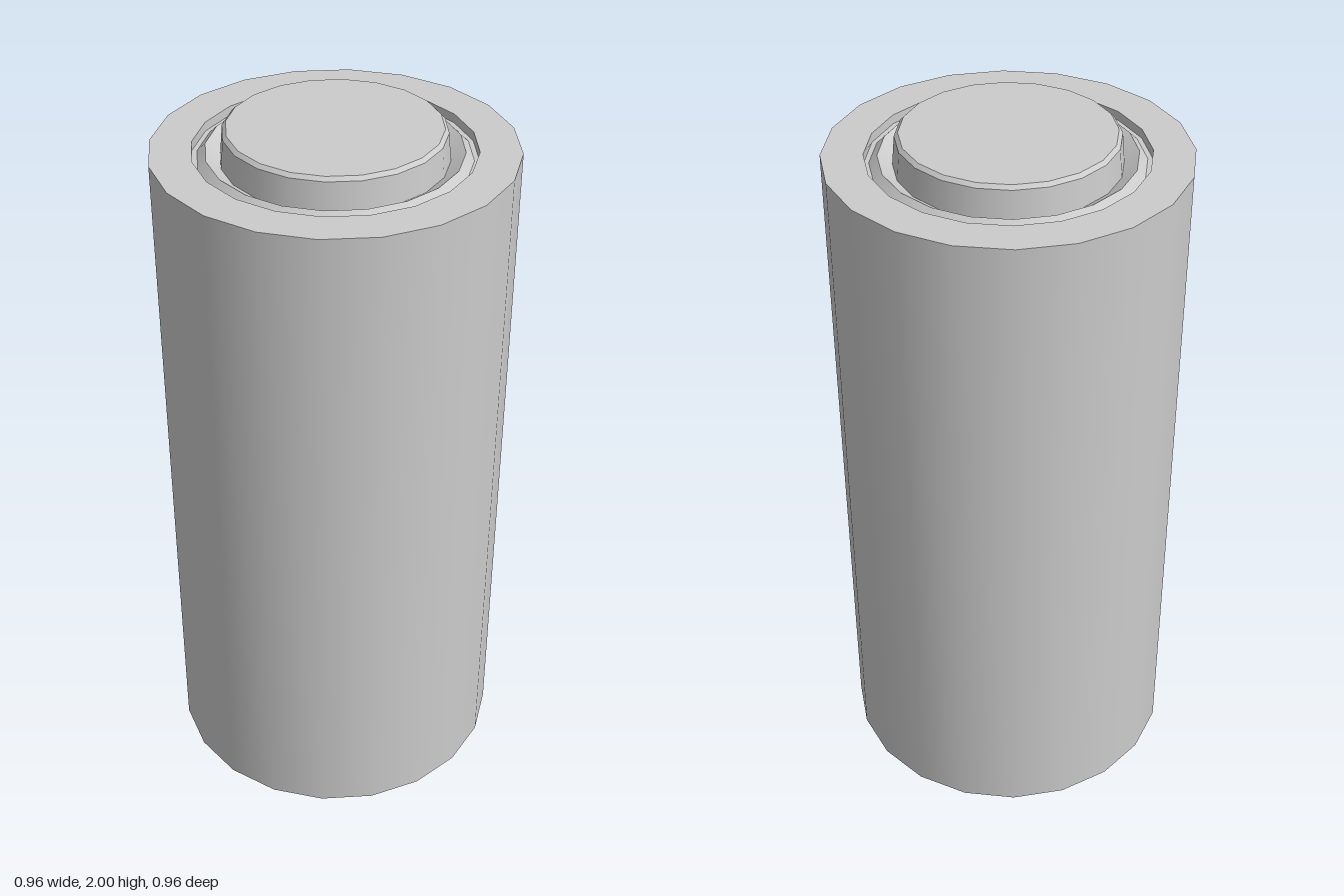
import * as THREE from 'three';
import { mergeGeometries } from 'three/addons/utils/BufferGeometryUtils.js';

const SIDES = 20;
const grey = new THREE.MeshStandardMaterial({ color: 0xcccccc });

// Turned part: one lathe band per profile segment, smooth around, sharp along the profile
function turned(name, profile) {
  const points = profile.map(([r, y]) => new THREE.Vector2(r, y));
  const bands = points.slice(1).map((p, i) => new THREE.LatheGeometry([points[i], p], SIDES));
  const mesh = new THREE.Mesh(mergeGeometries(bands), grey);
  mesh.name = name;
  return mesh;
}

export function createModel() {
  const group = new THREE.Group();
  group.name = 'battery';
  group.add(
    // Raised contact disc with sloped edge
    turned('bottomContact', [[0, 0], [0.31, 0], [0.337, 0.03]]),
    // Outer sleeve with the recess rims at both ends
    turned('casing', [
      [0.337, 0.03], [0.365, 0.03], [0.365, 0.015], [0.48, 0.015],
      [0.48, 1.94], [0.37, 1.94], [0.37, 1.915], [0.357, 1.915],
    ]),
    // Low ridge inside the top recess
    turned('sealRing', [[0.357, 1.915], [0.335, 1.937], [0.297, 1.912]]),
    // Raised top button with bevelled rim
    turned('topContact', [[0.297, 1.912], [0.29, 1.99], [0.28, 2], [0, 2]]),
  );
  return group;
}
